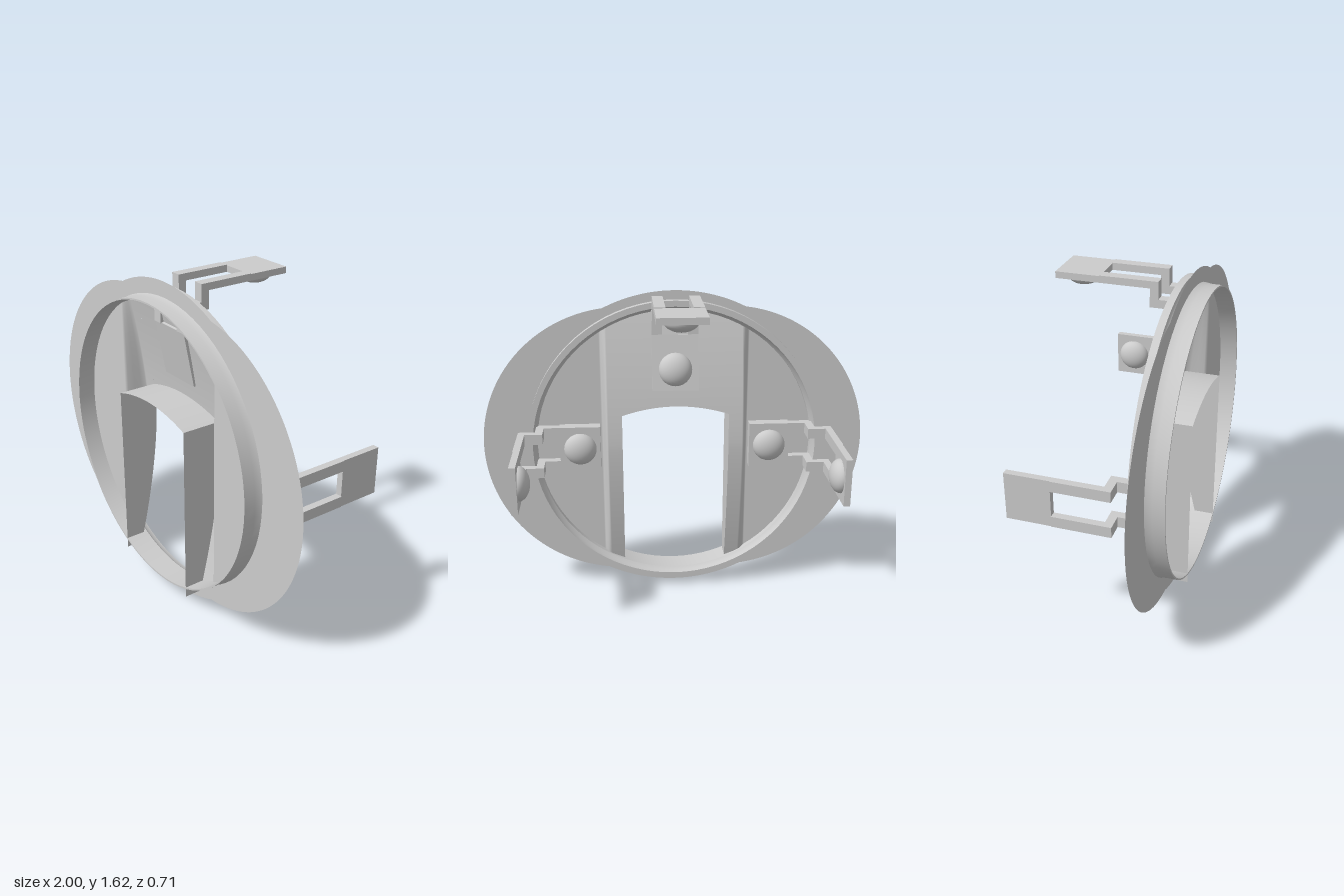
import * as THREE from 'three';
import { toCreasedNormals } from 'three/addons/utils/BufferGeometryUtils.js';
import { ParametricGeometry } from 'three/addons/geometries/ParametricGeometry.js';

const CY = 0.81;        // height of the ring's axis
const PLATE_Z = 0.265;  // thin face plate
const FRONT_Z = 0.357;  // front rim
const SLOT = 0.275;     // half width of the opening
const CHANNEL = 0.385;  // half width of the bulged channel
const HOLE_R = 0.722;

const material = new THREE.MeshStandardMaterial({ color: 0xcccccc, side: THREE.DoubleSide });

function add(parent, name, geometry) {
  const mesh = new THREE.Mesh(geometry, material);
  mesh.name = name;
  parent.add(mesh);
  return mesh;
}

// Depth of the bowed channel at a height
const bow = (y) => 0.15 + 0.115 * Math.pow(Math.abs(y - 0.83) / 0.73, 1.6);
// Channel surface, blending into the plate at its sides
const channelZ = (x, y) => {
  const t = THREE.MathUtils.smoothstep(Math.abs(x), 0.35, CHANNEL);
  return THREE.MathUtils.lerp(Math.min(bow(y), PLATE_Z), PLATE_Z, t);
};
const chord = (x) => Math.sqrt(HOLE_R * HOLE_R - x * x);
const archY = (x) => 1.043 - 0.045 * Math.pow(Math.abs(x) / SLOT, 2);

const sheet = (fn, nu, nv) => new ParametricGeometry((u, v, p) => p.set(...fn(u, v)), nu, nv);

// Thin plate: two overlapping side lobes and a round centre, open at the channel
function facePlate() {
  const s = new THREE.Shape();
  const a = 1.443, b = 1.106, P = Math.PI;
  s.absarc(0.27, 0, 0.73, -a, a);
  s.absarc(0, 0, 0.81, b, P - b);
  s.absarc(-0.27, 0, 0.73, P - a, P + a);
  s.absarc(0, 0, 0.81, P + b, 2 * P - b);
  const h = new THREE.Path();
  const c = Math.acos(CHANNEL / HOLE_R);
  h.absarc(0, 0, HOLE_R, c, P - c);
  h.absarc(0, 0, HOLE_R, P + c, 2 * P - c);
  s.holes.push(h);
  return new THREE.ShapeGeometry(s, 40).translate(0, CY, PLATE_Z);
}

// Ring with a front lip, a fillet and a rear flange
function ring() {
  const profile = [
    [0.72, FRONT_Z], [0.72, 0.235], [0.735, 0.22], [0.74, 0.2], [0.77, 0.2], [0.77, 0.235],
    [0.755, 0.238], [0.742, 0.248], [0.733, 0.268], [0.728, 0.3], [0.728, FRONT_Z], [0.72, FRONT_Z],
  ].map(([r, z]) => new THREE.Vector2(r, z));
  const g = new THREE.LatheGeometry(profile, 80).rotateX(Math.PI / 2).translate(0, CY, 0);
  return toCreasedNormals(g, 0.6);
}

function dome(parent, name) {
  const g = new THREE.SphereGeometry(0.085, 28, 10, 0, Math.PI * 2, 0, Math.PI / 2);
  return add(parent, name, g.scale(1, 0.65, 1));
}

// Spring clip, built with its radial direction along +y
function clip(angle, padInner, domeR, tilt) {
  const clipGroup = new THREE.Group();
  clipGroup.name = 'clip';

  // Two stepped prongs, profile as [z, radius]
  const shape = new THREE.Shape([
    [-0.14, 0.805], [0.14, 0.805], [0.14, 0.72], [0.245, 0.72], [0.245, 0.59],
    [0.2, 0.59], [0.2, 0.68], [0.1, 0.68], [0.1, 0.77], [-0.14, 0.77],
  ].map(([z, r]) => new THREE.Vector2(-z, r)));
  for (const x of [-0.118, 0.065]) {
    const g = new THREE.ExtrudeGeometry(shape, { depth: 0.053, bevelEnabled: false });
    add(clipGroup, 'clipProng', g.rotateY(Math.PI / 2).translate(x, 0, 0));
  }

  // Outer grip pad with its dome facing the axis
  add(clipGroup, 'gripPad', new THREE.BoxGeometry(0.236, 0.032, 0.216)).position.set(0, 0.786, -0.247);
  const grip = dome(clipGroup, 'gripDome');
  grip.position.set(0, 0.772, -0.255);
  grip.rotation.x = Math.PI;

  // Inner mounting tab, hinged where the prongs meet it
  const tab = new THREE.Group();
  tab.name = 'mountingTab';
  tab.position.set(0, 0.6, 0.2);
  tab.rotation.x = tilt;
  const length = 0.6 - padInner;
  const depth = tilt ? 0.042 : 0.06;
  add(tab, 'tabPlate', new THREE.BoxGeometry(0.236, length, depth)).position.set(0, -length / 2, depth / 2);
  const stud = dome(tab, 'tabDome');
  stud.position.set(0, domeR - 0.6, 0.003);
  stud.rotation.x = -Math.PI / 2;
  clipGroup.add(tab);

  clipGroup.position.y = CY;
  clipGroup.rotation.z = angle;
  return clipGroup;
}

export function createModel() {
  const model = new THREE.Group();
  model.name = 'cover';

  add(model, 'facePlate', facePlate());
  add(model, 'ring', ring());

  // Channel sides and opening walls
  for (const side of [-1, 1]) {
    add(model, 'channelSide', sheet((u, v) => {
      const x = SLOT + (CHANNEL - SLOT) * u;
      const y = CY + chord(x) * (2 * v - 1);
      return [side * x, y, channelZ(x, y)];
    }, 14, 40));
    add(model, 'openingWall', sheet((u, v) => {
      const y = THREE.MathUtils.lerp(0.09, archY(SLOT), v);
      return [side * SLOT, y, THREE.MathUtils.lerp(bow(y), FRONT_Z, u)];
    }, 2, 30));
  }

  // Channel slope above the opening, and the arched roof of the opening
  add(model, 'channelTop', sheet((u, v) => {
    const x = SLOT * (2 * u - 1);
    const y = THREE.MathUtils.lerp(archY(x), CY + chord(x), v);
    return [x, y, channelZ(x, y)];
  }, 20, 20));
  add(model, 'openingRoof', sheet((u, v) => {
    const x = SLOT * (2 * u - 1);
    const y = archY(x);
    return [x, y, THREE.MathUtils.lerp(bow(y), FRONT_Z, v)];
  }, 20, 2));

  // Clips at the top and both sides
  model.add(clip(0, 0.318, 0.425, 0.194));
  for (const side of [-1, 1]) model.add(clip(side * Math.PI / 2, 0.39, 0.495, 0));

  return model;
}
